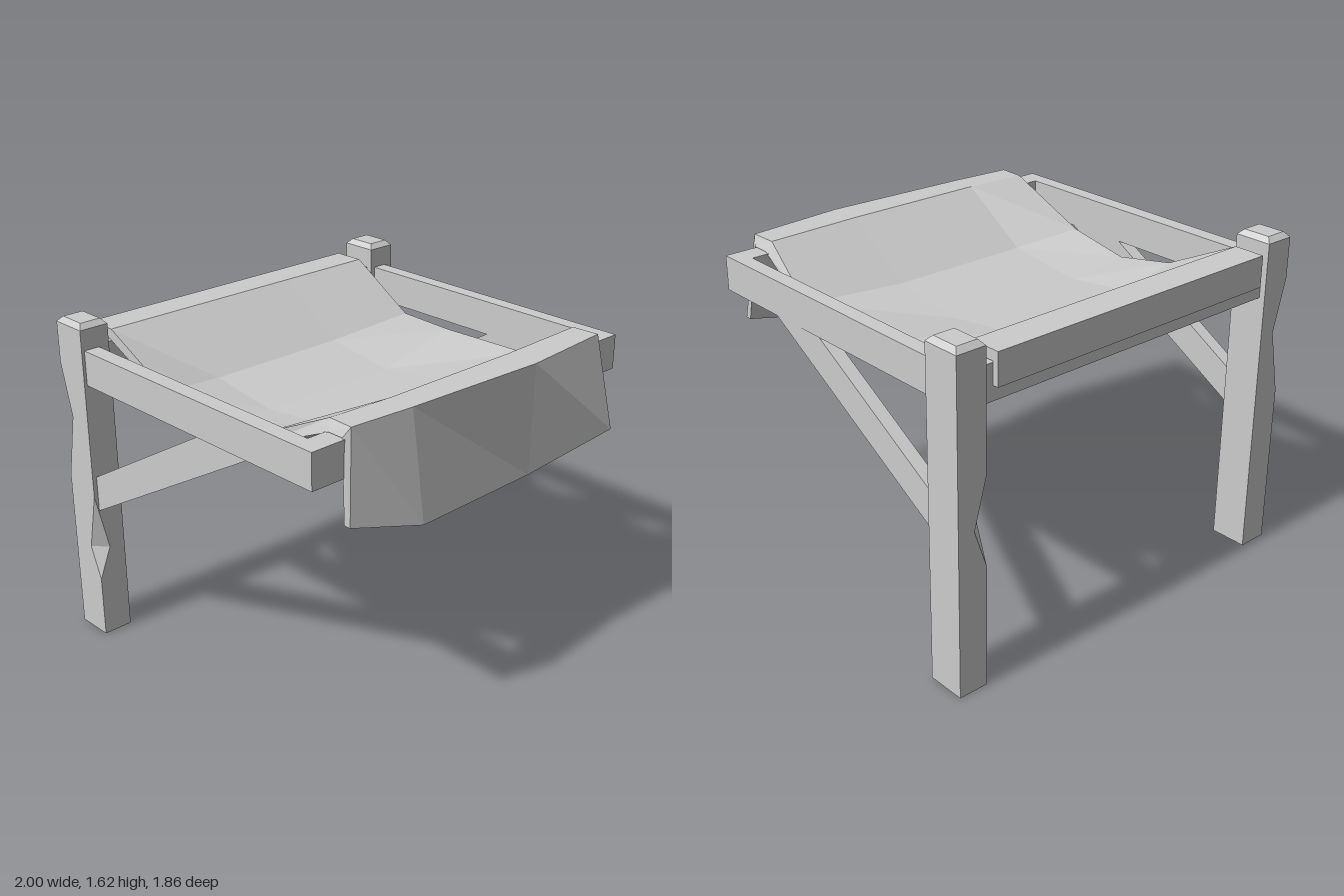
import * as THREE from 'three';

const material = new THREE.MeshStandardMaterial({ color: 0xcccccc, flatShading: true });

function add(group, name, geometry) {
  const mesh = new THREE.Mesh(geometry, material);
  mesh.name = name;
  group.add(mesh);
  return mesh;
}

// Closed, capped skin through rings of [x, y, z] points, counterclockwise seen from the last ring.
function loft(rings) {
  const positions = [];
  const n = rings[0].length;
  const triangle = (...corners) => {
    const [a, b, c] = corners.map((p) => new THREE.Vector3(...p));
    if (b.clone().sub(a).cross(c.clone().sub(a)).length() > 1e-7) positions.push(...corners.flat());
  };
  const quad = (a, b, c, d) => { triangle(a, b, c); triangle(a, c, d); };
  for (let r = 0; r < rings.length - 1; r++) {
    for (let i = 0; i < n; i++) {
      const j = (i + 1) % n;
      quad(rings[r][i], rings[r][j], rings[r + 1][j], rings[r + 1][i]);
    }
  }
  const first = rings[0], last = rings[rings.length - 1];
  for (let i = 0; i < n / 2 - 1; i++) {
    quad(last[i], last[i + 1], last[n - 2 - i], last[n - 1 - i]);
    quad(first[n - 1 - i], first[n - 2 - i], first[i + 1], first[i]);
  }
  const geometry = new THREE.BufferGeometry();
  geometry.setAttribute('position', new THREE.Float32BufferAttribute(positions, 3));
  geometry.computeVertexNormals();
  return geometry;
}

function box(x0, x1, y0, y1, z0, z1) {
  return new THREE.BoxGeometry(x1 - x0, y1 - y0, z1 - z0)
    .translate((x0 + x1) / 2, (y0 + y1) / 2, (z0 + z1) / 2);
}

// Square post with a bevelled top; each chip cuts one corner between its low and high ends.
const CORNERS = [[1, 1], [1, -1], [-1, -1], [-1, 1]];
function post(cx, chips) {
  const cz = -0.835;
  const heights = [0, 1.6, ...chips.flatMap((c) => [c.low, c.mid, c.high])].sort((a, b) => a - b);
  const ring = (y, hx, hz) => CORNERS.flatMap(([sx, sz], k) => {
    let cut = 0;
    for (const c of chips) {
      if (c.corner !== k || y <= c.low || y >= c.high) continue;
      cut = 0.065 * (y < c.mid ? (y - c.low) / (c.mid - c.low) : (c.high - y) / (c.high - c.mid));
    }
    const alongX = [cx + sx * (hx - cut), y, cz + sz * hz];
    const alongZ = [cx + sx * hx, y, cz + sz * (hz - cut)];
    return k % 2 ? [alongZ, alongX] : [alongX, alongZ];
  });
  return loft([...heights.map((y) => ring(y, 0.075, 0.095)), ring(1.625, 0.053, 0.07)]);
}

// Diagonal brace, cut flush against the post and the rail
function brace(x0, x1) {
  const profile = [[0.68, -0.74], [0.86, -0.74], [1.33, 0.07], [1.33, 0.4]];
  return loft([x0, x1].map((x) => profile.map(([y, z]) => [x, y, z])));
}

// Sagging cloth: rows run from the rear hem to the front flap, with four columns across.
function cloth() {
  const same = (v) => [v, v, v, v];
  const xs = [-0.812, -0.47, 0.27, 0.785];
  const rows = [
    { z: same(-0.93), y: same(1.4), under: [0.03, 0] },
    { z: same(-0.93), y: same(1.555), under: [0.03, -0.05] },
    { z: same(-0.77), y: same(1.555), under: [-0.02, -0.05] },
    { z: [-0.37, -0.42, -0.42, -0.42], y: [1.36, 1.32, 1.32, 1.34], under: [-0.02, -0.04] },
    { z: [-0.05, -0.05, -0.05, -0.12], y: [1.3, 1.27, 1.27, 1.33], under: [0, -0.04] },
    { z: [0.28, 0.35, 0.35, 0.4], y: [1.36, 1.32, 1.32, 1.34], under: [0.02, -0.04] },
    { z: [0.69, 0.71, 0.71, 0.69], y: same(1.555), under: [0.02, -0.05], inset: 0.025 },
    { z: [0.82, 0.845, 0.875, 0.83], y: same(1.555), under: [-0.03, -0.05], inset: 0.02 },
    { z: [0.835, 0.92, 0.865, 0.93], y: [1.12, 1.045, 1.015, 1.105], under: [-0.035, 0] },
  ];
  return loft(xs.map((x, c) => {
    const side = c === 0 ? 1 : c === 3 ? -1 : 0;
    const top = rows.map((r) => [x + side * (r.inset || 0), r.y[c], r.z[c]]);
    const bottom = rows.map((r) => [x, r.y[c] + r.under[1], r.z[c] + r.under[0]]);
    return [...top, ...bottom.reverse()];
  }));
}

export function createModel() {
  const model = new THREE.Group();
  model.name = 'awning';

  // Rear posts with chipped corners
  add(model, 'rightPost', post(-0.925, [
    { corner: 3, low: 0.31, mid: 0.47, high: 0.76 },
    { corner: 2, low: 0.82, mid: 1.14, high: 1.4 },
  ]));
  add(model, 'leftPost', post(0.92, [
    { corner: 3, low: 0.82, mid: 1.09, high: 1.32 },
    { corner: 2, low: 0.6, mid: 0.79, high: 1.03 },
  ]));

  // Horizontal frame
  add(model, 'rightRail', box(-0.985, -0.905, 1.33, 1.5, -0.8, 0.69));
  add(model, 'leftRail', box(0.87, 0.945, 1.33, 1.5, -0.8, 0.69));
  add(model, 'frontRail', box(-0.985, 0.945, 1.33, 1.5, 0.69, 0.8));
  add(model, 'backRail', box(-0.9, 0.9, 1.33, 1.5, -0.9, -0.77));

  // Braces under the side rails
  add(model, 'rightBrace', brace(-0.978, -0.91));
  add(model, 'leftBrace', brace(0.875, 0.942));

  add(model, 'cloth', cloth());
  return model;
}
